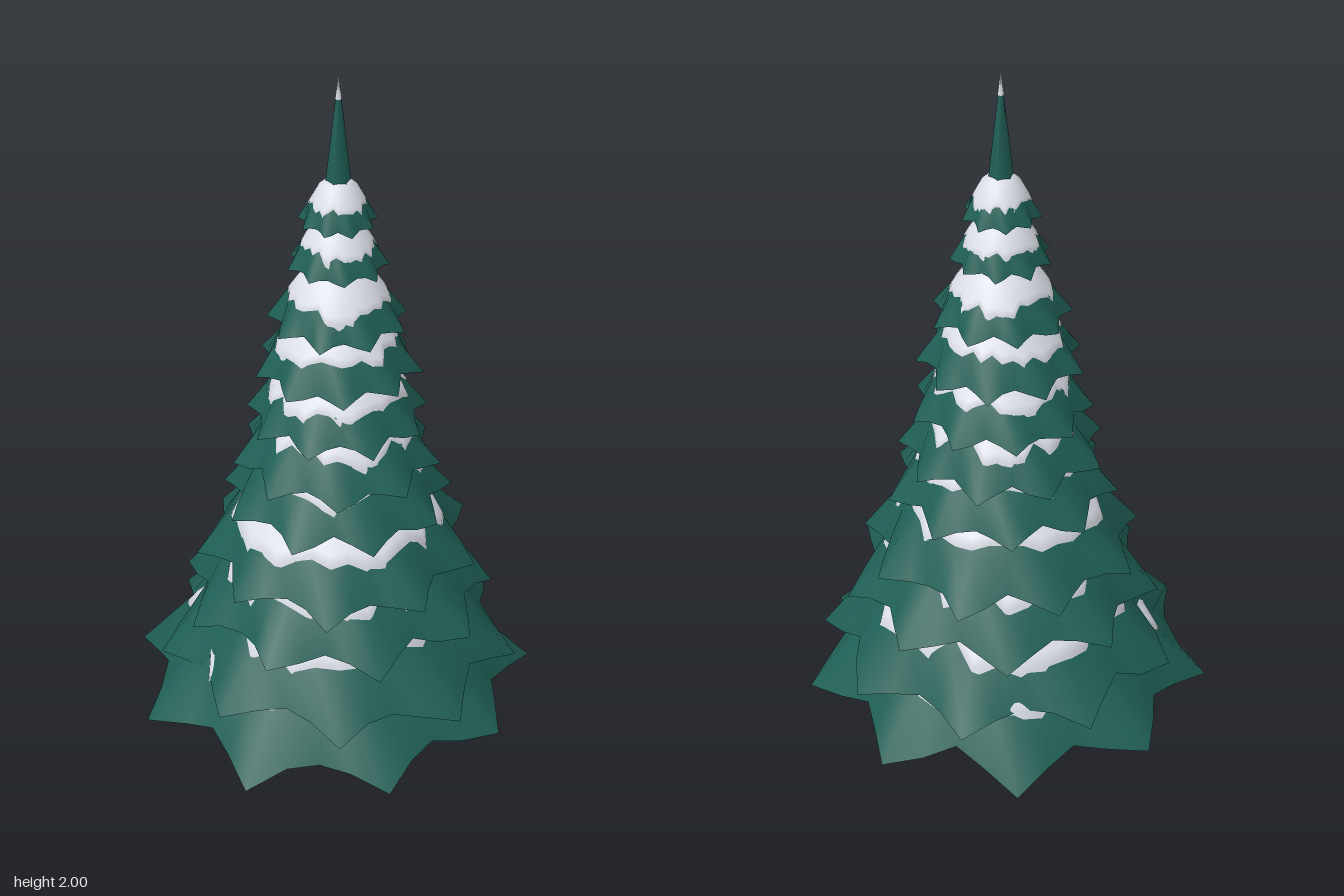
import * as THREE from 'three';

const mat = (name, color, side = THREE.FrontSide) => {
  const m = new THREE.MeshStandardMaterial({ color, side });
  m.name = name;
  return m;
};

export function createModel() {
  const tree = new THREE.Group();
  tree.name = 'snowyFirTree';
  const needle = mat('needleGreen', 0x1f5f55, THREE.DoubleSide);
  const snow = mat('snowWhite', 0xe2e5ee, THREE.DoubleSide);
  const bark = mat('barkBrown', 0x62493c);

  // Seeded jitter in the range -1..1
  let seed = 7;
  const jitter = () => {
    seed = (seed * 16807) % 2147483647;
    return (seed / 2147483647) * 2 - 1;
  };

  const add = (name, geometry, material, x, y, z = 0) => {
    const mesh = new THREE.Mesh(geometry, material);
    mesh.name = name;
    mesh.position.set(x, y, z);
    tree.add(mesh);
    return mesh;
  };

  // Closed skirt surface joining rings of points, from the inner ring outward
  const skirt = (rings) => {
    const n = rings[0].length;
    const index = [];
    for (let r = 0; r < rings.length - 1; r++) {
      for (let i = 0; i < n; i++) {
        const a = r * n + i, b = r * n + (i + 1) % n;
        index.push(a, b, a + n, b, b + n, a + n);
      }
    }
    const g = new THREE.BufferGeometry();
    g.setAttribute('position', new THREE.Float32BufferAttribute(rings.flat(2), 3));
    g.setIndex(index);
    g.computeVertexNormals();
    return g;
  };

  // Branch tiers: [tip radius, tip height, angle of the first tip in degrees]
  const tiers = [
    [0.59, 0.07, 12], [0.53, 0.2, 27], [0.46, 0.38, 13], [0.41, 0.53, 32],
    [0.33, 0.71, 10], [0.295, 0.84, 28], [0.26, 0.98, 6], [0.235, 1.13, 24],
    [0.195, 1.28, 2], [0.14, 1.45, 21], [0.108, 1.58, 8],
  ];
  const TIPS = 9, STEPS = 4, COUNT = TIPS * STEPS;
  // Rim reach and lift at tip, side, valley, side
  const REACH = [1, 0.885, 0.82, 0.885], LIFT = [0, 0.045, 0.075, 0.045];

  tiers.forEach(([R, y0, start], t) => {
    const h = 0.06 + 0.58 * R;
    // Ring from a rule giving [radius / R, height above the tips]
    const ring = (rule) => Array.from({ length: COUNT }, (_, i) => {
      const a = THREE.MathUtils.degToRad(start) + (i / COUNT) * Math.PI * 2;
      const [f, y] = rule(i % STEPS, i);
      return [R * f * Math.cos(a), y0 + y, R * f * Math.sin(a)];
    });
    // Height of the branches at radius f, along rim column k
    const height = (f, k) => (f < 0.71
      ? THREE.MathUtils.mapLinear(f, 0.5, 0.71, 0.8 * h, 0.45 * h)
      : THREE.MathUtils.mapLinear(f, 0.71, REACH[k], 0.45 * h, LIFT[k] * R));

    // Green umbrella with long drooping tips and shallow valleys
    const branches = skirt([
      ring(() => [0.12, h]),
      ring(() => [0.3, 0.96 * h]),
      ring(() => [0.5, 0.8 * h]),
      ring(() => [0.71, 0.45 * h]),
      ring((k) => [REACH[k] + 0.015 * jitter(), R * (LIFT[k] + 0.03 * jitter())]),
    ]);

    // Snow cap lying on the branches; its uneven lip folds down beneath them
    const reach = Array.from({ length: COUNT }, () => 0.705 + 0.055 * jitter());
    const cap = skirt([
      ring(() => [0.12, h + 0.025 * R]),
      ring(() => [0.3, 0.96 * h + 0.025 * R]),
      ring(() => [0.5, 0.8 * h + 0.025 * R]),
      ring((k, i) => [reach[i] - 0.04, height(reach[i] - 0.04, k) + 0.025 * R]),
      ring((k, i) => [reach[i], height(reach[i], k) + 0.022 * R]),
      ring((k, i) => [reach[i] + 0.015, height(reach[i] + 0.015, k) - 0.08 * R]),
    ]);

    const x = t === 0 ? 0 : 0.015;
    add(`branchTier${t + 1}`, branches, needle, x, 0);
    add(`snowTier${t + 1}`, cap, snow, x, 0);
  });

  // Trunk, tapering up through all tiers
  add('trunk', new THREE.CylinderGeometry(0.015, 0.105, 1.69, 8), bark, 0.01, 0.847);

  // Pointed top with a frosted end
  add('treetop', new THREE.CylinderGeometry(0.008, 0.036, 0.25, 6), needle, 0.015, 1.805);
  add('frostedTip', new THREE.ConeGeometry(0.009, 0.07, 6), snow, 0.015, 1.965);

  // Low snow mound round the foot of the trunk, slightly longer front to back
  const mound = add('snowMound', new THREE.CylinderGeometry(0.09, 0.295, 0.062, 32, 1, true), snow, 0.005, 0.031);
  mound.scale.z = 1.05;

  return tree;
}
